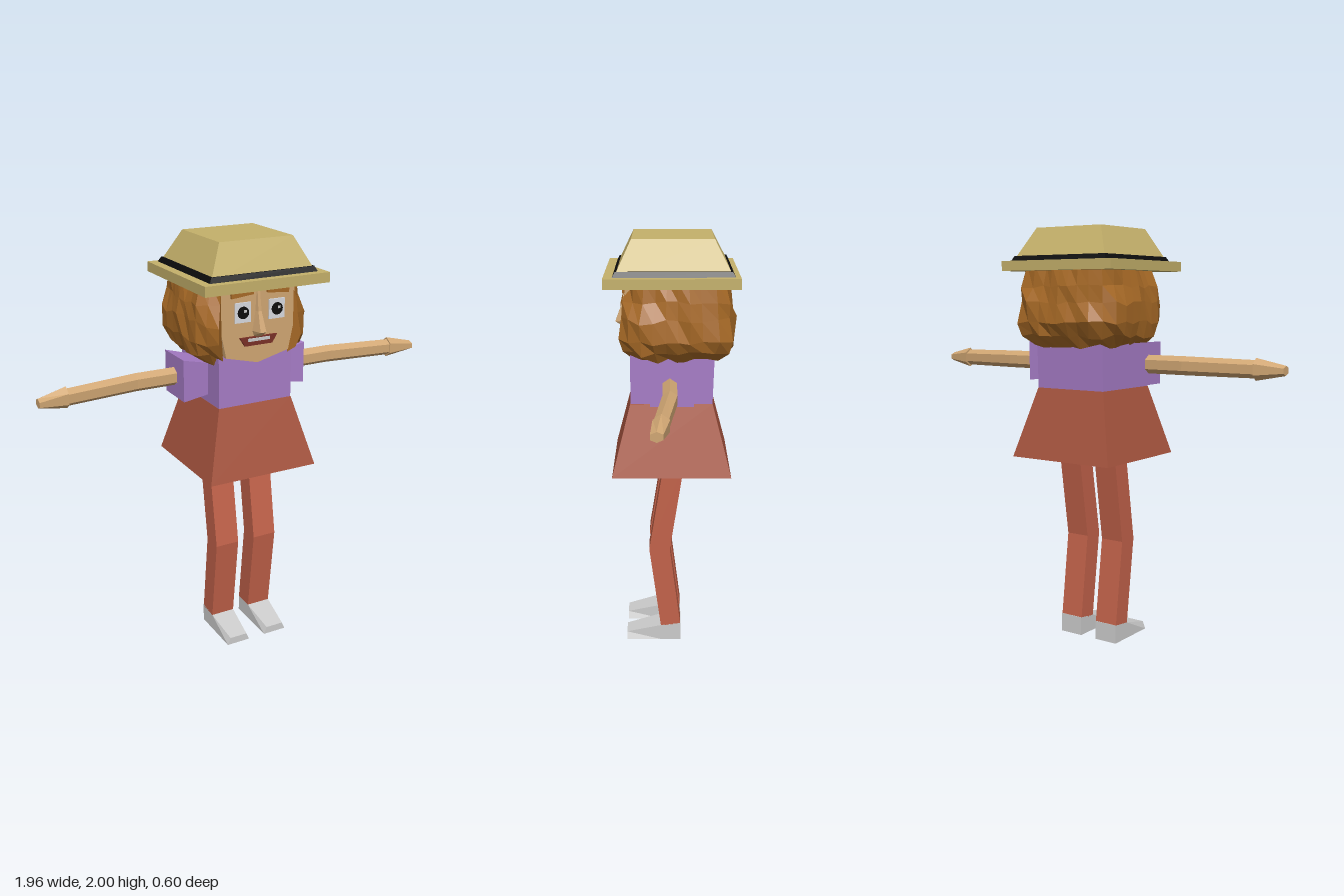
import * as THREE from 'three';

const SKIN = 0xd0a673, SHIRT = 0xa67cc6, SKIRT = 0xa8553f, LEG = 0xc2624a;
const HAT = 0xc4b06a, HAIR = 0xa86a26, BLACK = 0x0c0c0c;

function add(parent, name, geometry, color = 0xcccccc) {
  const mesh = new THREE.Mesh(geometry, new THREE.MeshStandardMaterial({ color, flatShading: true }));
  mesh.name = name;
  parent.add(mesh);
  return mesh;
}

// Faceted solid through a row of matching polygon sections, capped at both ends
function loft(sections) {
  const tris = [], n = sections[0].length;
  for (let i = 0; i < sections.length - 1; i++) {
    const a = sections[i], b = sections[i + 1];
    for (let j = 0; j < n; j++) {
      const k = (j + 1) % n;
      tris.push([a[j], a[k], b[k]], [a[j], b[k], b[j]]);
    }
  }
  const first = sections[0], last = sections[sections.length - 1];
  for (let j = 1; j < n - 1; j++) tris.push([first[0], first[j + 1], first[j]], [last[0], last[j], last[j + 1]]);
  // turn the faces outward
  let volume = 0;
  const v = tris.map(t => t.map(p => new THREE.Vector3(...p)));
  for (const [a, b, c] of v) volume += a.dot(b.clone().cross(c));
  const points = v.flatMap(([a, b, c]) => volume < 0 ? [a, c, b] : [a, b, c]);
  const g = new THREE.BufferGeometry().setFromPoints(points);
  g.computeVertexNormals();
  return g;
}

// Horizontal rectangle at height y
const rect = (y, x0, x1, z0, z1) => [[x0, y, z0], [x0, y, z1], [x1, y, z1], [x1, y, z0]];
// Upright rectangle facing z
const plate = (z, x, y, w, h) => [[x - w, y - h, z], [x + w, y - h, z], [x + w, y + h, z], [x - w, y + h, z]];
// Upright hexagon facing x
const hex = (x, y, z, ry, rz) => Array.from({ length: 6 }, (_, i) => {
  const a = (i + 0.5) * Math.PI / 3;
  return [x, y + ry * Math.sin(a), z + rz * Math.cos(a)];
});

function box(parent, name, color, w, h, d, x, y, z) {
  const m = add(parent, name, new THREE.BoxGeometry(w, h, d), color);
  m.position.set(x, y, z);
  return m;
}

// Shaggy hair: one ragged profile carried from cheek to cheek around the back
function hairGeometry() {
  let seed = 11;
  const jitter = s => {
    seed = (seed * 16807) % 2147483647;
    return (seed / 2147483647 - 0.5) * s;
  };
  const profile = [[1.82, 0.245], [1.73, 0.262], [1.65, 0.278], [1.56, 0.283], [1.5, 0.262], [1.455, 0.21]];
  const sections = [], steps = 26, start = 0.7;
  for (let i = 0; i <= steps; i++) {
    const a = start + (2 * Math.PI - 2 * start) * i / steps;
    const s = Math.sin(a), c = Math.cos(a);
    const round = Math.pow(s ** 6 + c ** 6, -1 / 6), square = 1 / Math.max(Math.abs(s), Math.abs(c));
    const section = profile.map(([y, r], k) => {
      const q = (r + (c > 0.5 ? -0.02 : 0) + jitter(0.026)) * round;
      return [s * q, y + (k ? jitter(0.025) : 0), c * q - 0.008];
    });
    const q = 0.188 * square;
    section.push([s * q, 1.47, c * q], [s * q, 1.82, c * q]);
    sections.push(section);
  }
  return loft(sections);
}

function buildHead(root) {
  const head = new THREE.Group();
  head.name = 'head';
  root.add(head);

  // Skull and jaw, front face slightly smaller than the back
  const outline = [[-0.2, 1.81], [-0.2, 1.62], [-0.17, 1.49], [0, 1.45], [0.17, 1.49], [0.2, 1.62], [0.2, 1.81]];
  const slice = (z, s) => outline.map(([x, y]) => [x * s, y, z]);
  add(head, 'face', loft([slice(-0.185, 0.95), slice(0.15, 1), slice(0.21, 0.94)]), SKIN);
  add(head, 'hair', hairGeometry(), HAIR);

  // Eyes and eyebrows
  for (const s of [1, -1]) {
    const x = 0.007 + s * 0.086;
    box(head, 'eye', 0xd8dae0, 0.08, 0.09, 0.012, x, 1.69, 0.212);
    const pupil = add(head, 'pupil', new THREE.CylinderGeometry(0.028, 0.028, 0.008, 16), BLACK);
    pupil.rotation.x = Math.PI / 2;
    pupil.position.set(x, 1.69, 0.218);
    box(head, 'eyeGlint', 0xffffff, 0.012, 0.012, 0.004, x + 0.008, 1.697, 0.223);
    const brow = box(head, 'eyebrow', HAIR, 0.11, 0.024, 0.02, x + s * 0.005, 1.775, 0.212);
    brow.rotation.z = -s * 0.1;
  }

  // Nose widening and rising toward its tip
  const noseSection = (y, w, z) => [[-w, y, 0.2], [-w * 0.5, y, z], [w * 0.5, y, z], [w, y, 0.2]];
  add(head, 'nose', loft([noseSection(1.575, 0.022, 0.225), noseSection(1.6, 0.03, 0.262),
    noseSection(1.69, 0.016, 0.228), noseSection(1.8, 0.012, 0.214)]), SKIN);

  // Mouth with a row of teeth
  const lip = z => [[-0.095, 1.575, z], [-0.07, 1.535, z], [0.07, 1.535, z], [0.095, 1.575, z]];
  add(head, 'mouth', loft([lip(0.2), lip(0.22)]), 0x7a3026);
  box(head, 'teeth', 0xe8e8e8, 0.11, 0.014, 0.008, 0, 1.562, 0.22);
}

function buildHat(root) {
  const hat = new THREE.Group();
  hat.name = 'hat';
  root.add(hat);
  box(hat, 'brim', HAT, 0.62, 0.046, 0.6, 0.005, 1.823, 0);
  add(hat, 'crown', loft([rect(1.84, -0.257, 0.272, -0.272, 0.255), rect(2, -0.175, 0.193, -0.188, 0.178)]), HAT);
  add(hat, 'hatBand', loft([rect(1.846, -0.262, 0.277, -0.277, 0.26), rect(1.869, -0.25, 0.265, -0.265, 0.248)]), BLACK);
}

function buildArm(root, s) {
  const arm = new THREE.Group();
  arm.name = s > 0 ? 'leftArm' : 'rightArm';
  root.add(arm);
  const z = s > 0 ? 0.01 : -0.005, y = s > 0 ? 1.365 : 1.372;
  const side = (x, y0, y1, w) => [[s * x, y0, -w], [s * x, y0, w], [s * x, y1, w], [s * x, y1, -w]];
  add(arm, 'sleeve', loft([side(0.17, 1.29, 1.435, 0.08), side(0.317, 1.275, 1.473, 0.098)]), SHIRT);
  add(arm, 'forearm', loft([hex(s * 0.28, y, z, 0.043, 0.037), hex(s * 0.51, y, z, 0.043, 0.037),
    hex(s * 0.86, y - 0.004, z + 0.038, 0.04, 0.034)]), SKIN);
  add(arm, 'hand', loft([hex(s * 0.845, y - 0.004, z + 0.035, 0.05, 0.04),
    hex(s * 0.978, y - 0.006, z + 0.052, 0.022, 0.03)]), SKIN);
}

function buildLeg(root, s) {
  const leg = new THREE.Group();
  leg.name = s > 0 ? 'leftLeg' : 'rightLeg';
  root.add(leg);
  const x = s * 0.104, x0 = x - 0.06, x1 = x + 0.06;
  add(leg, 'thighAndShin', loft([rect(0.08, x0, x1, -0.043, 0.055), rect(0.5, x0, x1, 0.01, 0.11),
    rect(0.95, x0, x1, -0.06, 0.037)]), LEG);
  // Heel block, then a toe sloping down and narrowing at the top
  const foot = (z, top, w) => [[x0, 0, z], [x1, 0, z], [x + w, top, z], [x - w, top, z]];
  add(leg, 'shoe', loft([foot(-0.045, 0.092, 0.06), foot(0.055, 0.08, 0.06), foot(0.225, 0.036, 0.045)]));
}

export function createModel() {
  const root = new THREE.Group();
  root.name = 'figure';

  add(root, 'torso', loft([rect(1.24, -0.187, 0.19, -0.187, 0.19), rect(1.495, -0.187, 0.19, -0.195, 0.19)]), SHIRT);
  add(root, 'skirt', loft([rect(0.918, -0.275, 0.28, -0.275, 0.278), rect(1.25, -0.188, 0.191, -0.188, 0.192)]), SKIRT);

  buildHead(root);
  buildHat(root);
  for (const s of [1, -1]) {
    buildArm(root, s);
    buildLeg(root, s);
  }
  return root;
}
